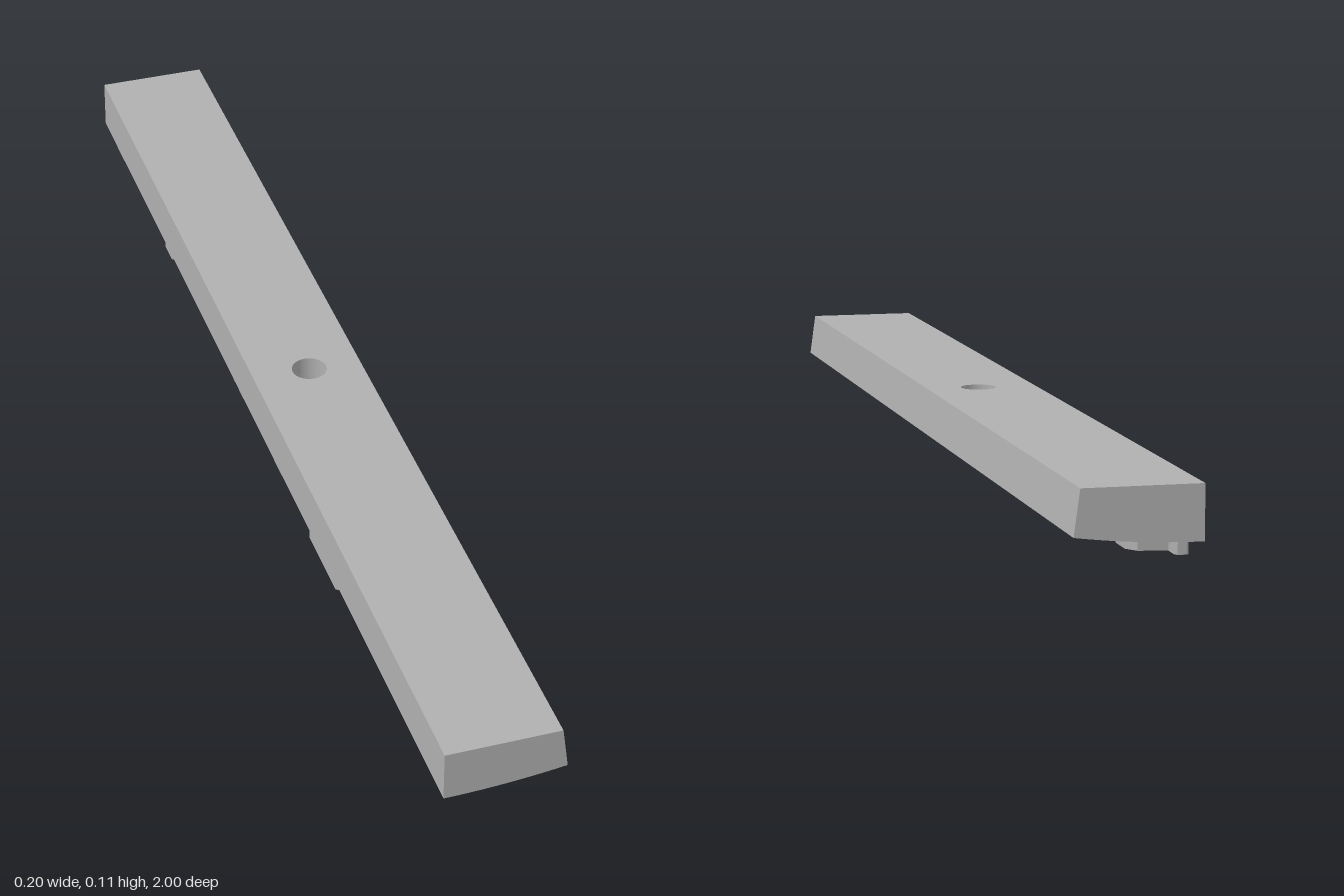
import * as THREE from 'three';

const TOP = 0.115, HOLE_R = 0.03, MID = 0.1, LUG_H = 0.028;
// Height of the gently curved underside at x
const under = (x) => 0.028 + 0.014 * ((x + 0.1) / 0.2) ** 2;

// One long end of the bar: the cross-section extruded along z
function barEnd(z0) {
  const pts = [[-0.1, TOP]];
  for (let i = 0; i <= 10; i++) {
    const x = -0.1 + i * 0.02;
    pts.push([x, under(x)]);
  }
  pts.push([0.09, TOP]);
  const shape = new THREE.Shape(pts.map(([x, y]) => new THREE.Vector2(x, y)));
  const geo = new THREE.ExtrudeGeometry(shape, { depth: 1 - MID, bevelEnabled: false });
  return geo.translate(0, 0, z0);
}

// Middle of the bar: a closed loop of rows around the through hole
function barMiddle() {
  const n = 48;
  const row = (t, top) => Array.from({ length: n }, (_, i) => {
    const a = (i / n) * Math.PI * 2, c = Math.cos(a), s = Math.sin(a);
    const k = MID / Math.max(Math.abs(c), Math.abs(s));
    const ox = top ? Math.min(k * c, 0.09) : k * c;
    const x = THREE.MathUtils.lerp(HOLE_R * c, ox, t);
    return [x, top ? TOP : under(x), THREE.MathUtils.lerp(HOLE_R * s, k * s, t)];
  });
  const rows = [row(0, true), row(1, true)];
  for (let j = 4; j >= 0; j--) rows.push(row(j / 4, false));
  const pos = [], idx = [];
  rows.forEach((r) => r.forEach((p) => pos.push(...p)));
  rows.forEach((_, j) => {
    const k = (j + 1) % rows.length;
    for (let i = 0; i < n; i++) {
      const m = (i + 1) % n;
      const a = j * n + i, b = j * n + m, c = k * n + i, d = k * n + m;
      idx.push(a, b, c, b, d, c);
    }
  });
  const geo = new THREE.BufferGeometry();
  geo.setAttribute('position', new THREE.Float32BufferAttribute(pos, 3));
  geo.setIndex(idx);
  const flat = geo.toNonIndexed();
  flat.computeVertexNormals();
  return flat;
}

// Rectangle in plan with slightly cut corners
function outline(Type, x0, x1, z0, z1, cut) {
  return new Type([
    [x0 + cut, z0], [x1 - cut, z0], [x1, z0 + cut], [x1, z1 - cut],
    [x1 - cut, z1], [x0 + cut, z1], [x0, z1 - cut], [x0, z0 + cut],
  ].map(([x, z]) => new THREE.Vector2(x, z)));
}

// Raised lug whose two faces follow the curved underside; wall > 0 makes it a ring
function lug(x0, x1, z0, z1, wall = 0) {
  const shape = outline(THREE.Shape, x0, x1, z0, z1, wall ? 0.015 : 0.004);
  if (wall) shape.holes.push(outline(THREE.Path, x0 + wall, x1 - wall, z0 + wall, z1 - wall, 0.01));
  const geo = new THREE.ExtrudeGeometry(shape, { depth: LUG_H, bevelEnabled: false });
  geo.rotateX(Math.PI / 2);
  const p = geo.attributes.position;
  for (let i = 0; i < p.count; i++) {
    const low = p.getY(i) < -LUG_H / 2;
    p.setY(i, under(p.getX(i)) + (low ? -LUG_H : 0.003));
  }
  geo.computeVertexNormals();
  return geo;
}

export function createModel() {
  const grey = new THREE.MeshStandardMaterial({ color: 0xb0b0b0 });
  grey.name = 'grey';
  const model = new THREE.Group();
  model.name = 'bar';
  const add = (name, geo) => {
    const mesh = new THREE.Mesh(geo, grey);
    mesh.name = name;
    model.add(mesh);
  };

  add('frontBar', barEnd(MID));
  add('rearBar', barEnd(-1));
  add('drilledMiddle', barMiddle());

  // Ring lugs along the underside: x0, x1, z0, z1
  const rings = [
    [-0.085, -0.005, 0.585, 0.66],
    [-0.085, -0.005, 0.33, 0.41],
    [-0.09, -0.005, 0.07, 0.145],
    [-0.035, 0.048, -0.165, -0.09],
    [-0.085, -0.005, -0.42, -0.34],
    [-0.085, -0.005, -0.665, -0.585],
    [-0.085, -0.005, -0.92, -0.84],
  ];
  rings.forEach((r) => add('ringLug', lug(...r, 0.022)));

  // Small solid tabs beside the rings
  const tabs = [
    [-0.085, -0.065, 0.85, 0.87],
    [-0.095, -0.068, 0.3, 0.45],
    [-0.025, 0, 0.05, 0.18],
    [-0.09, -0.03, -0.165, -0.148],
    [-0.09, -0.068, -0.13, -0.095],
    [-0.093, -0.068, -0.6, -0.55],
    [-0.09, -0.068, -0.955, -0.9],
  ];
  tabs.forEach((t) => add('tabLug', lug(...t)));

  return model;
}
